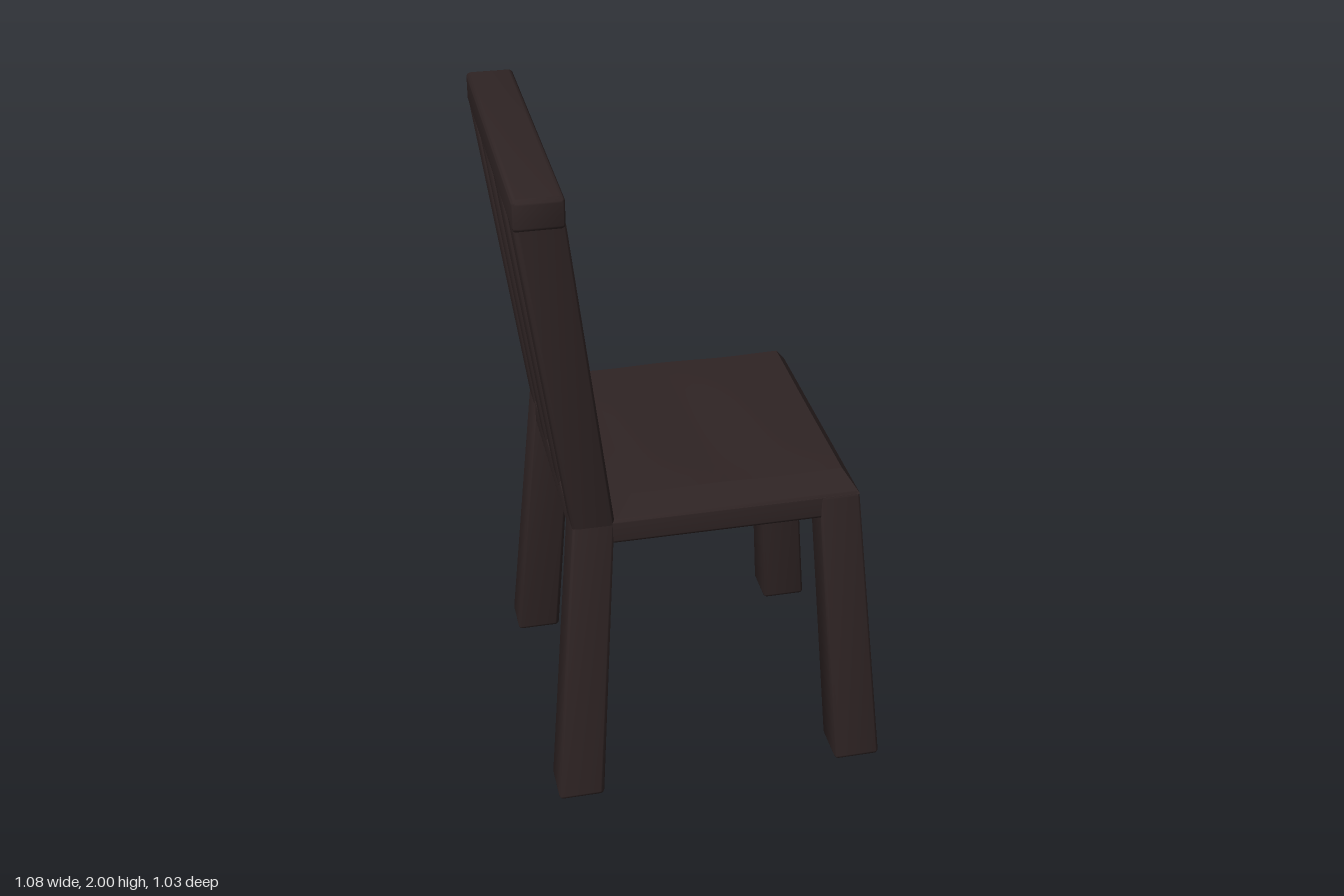
import * as THREE from 'three';
import { RoundedBoxGeometry } from 'three/addons/geometries/RoundedBoxGeometry.js';
import { toCreasedNormals } from 'three/addons/utils/BufferGeometryUtils.js';

const { lerp } = THREE.MathUtils;

// Rounded bar whose rectangle [x0, x1, z0, z1] changes from height y0 to y1
function bar(y0, low, y1, high, radius = 0.014) {
  const w = low[1] - low[0], d = low[3] - low[2], h = y1 - y0;
  const geo = new RoundedBoxGeometry(w, h, d, 3, radius);
  const p = geo.attributes.position;
  for (let i = 0; i < p.count; i++) {
    const u = p.getX(i) / w + 0.5, t = p.getY(i) / h + 0.5, v = p.getZ(i) / d + 0.5;
    const r = low.map((a, k) => lerp(a, high[k], t));
    p.setXYZ(i, lerp(r[0], r[1], u), lerp(y0, y1, t), lerp(r[2], r[3], v));
  }
  return toCreasedNormals(geo, 0.7);
}

// The same rectangle on the other side of z = 0
const flip = ([x0, x1, z0, z1]) => [x0, x1, -z1, -z0];

// Cushion with bevelled rim and a softly uneven top
function cushion() {
  const geo = new THREE.BoxGeometry(1, 1, 1, 20, 1, 16);
  const p = geo.attributes.position;
  for (let i = 0; i < p.count; i++) {
    const u = p.getX(i) + 0.5, v = p.getZ(i) * 2;
    if (p.getY(i) < 0) {
      p.setXYZ(i, lerp(-0.285, 0.455, u), 0.943, v * 0.43);
    } else {
      const x = lerp(-0.225, 0.412, u), z = v * 0.375;
      const wave = 0.006 * Math.cos(x * 16 + 2.6) * Math.cos(z * 5);
      p.setXYZ(i, x, 1.01 + wave - 0.006 * v * v, z);
    }
  }
  return toCreasedNormals(geo, 0.4);
}

export function createModel() {
  const group = new THREE.Group();
  const wood = new THREE.MeshStandardMaterial({ color: 0x2f2424 });
  wood.name = 'darkWood';

  const add = (name, geo) => {
    const mesh = new THREE.Mesh(geo, wood);
    mesh.name = name;
    group.add(mesh);
  };
  const addPair = (name, y0, low, y1, high) => {
    add(name + 'Left', bar(y0, low, y1, high));
    add(name + 'Right', bar(y0, flip(low), y1, flip(high)));
  };

  // Splayed legs
  addPair('seatEdgeLeg', 0, [0.395, 0.54, 0.375, 0.517], 0.95, [0.332, 0.455, 0.305, 0.43]);
  addPair('backrestLeg', 0, [-0.49, -0.348, 0.375, 0.517], 0.95, [-0.405, -0.283, 0.305, 0.43]);

  // Seat
  const seat = [-0.405, 0.455, -0.43, 0.43];
  add('seatBase', bar(0.87, seat, 0.952, seat, 0.012));
  add('seatCushion', cushion());

  // Leaning backrest
  addPair('backPost', 0.92, [-0.405, -0.28, 0.31, 0.43], 1.93, [-0.545, -0.405, 0.36, 0.495]);
  addPair('backSlat', 0.92, [-0.405, -0.28, 0.068, 0.182], 1.93, [-0.545, -0.405, 0.073, 0.212]);
  const rail = [-0.545, -0.405, -0.497, 0.497];
  add('topRail', bar(1.908, rail, 2, rail));

  return group;
}
